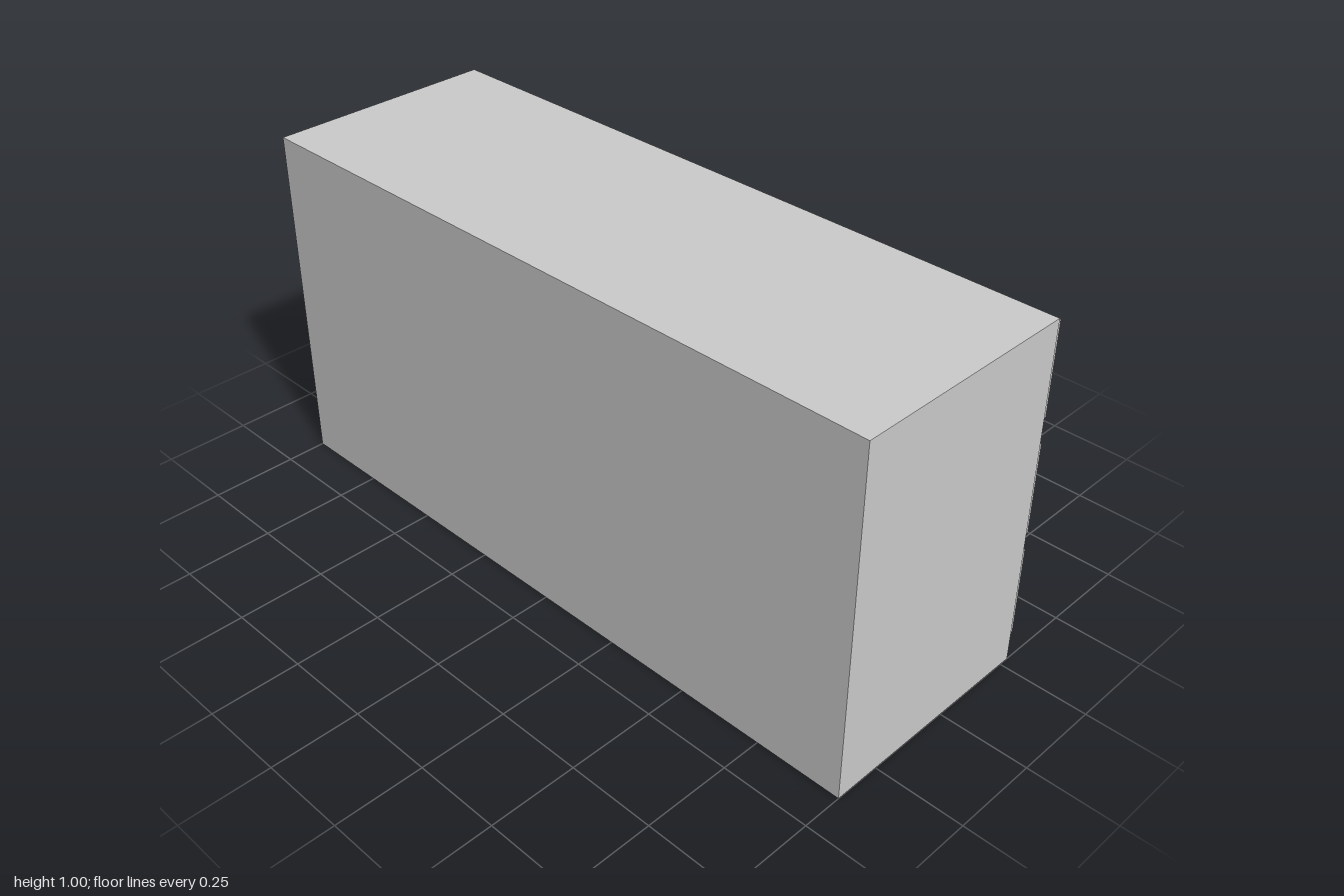
import * as THREE from 'three';

const material = new THREE.MeshStandardMaterial({ color: 0xcccccc });
const FACE_X = 0.325; // outer plane of the drawer fronts

function add(parent, name, geometry, x, y, z) {
  const mesh = new THREE.Mesh(geometry, material);
  mesh.name = name;
  mesh.position.set(x, y, z);
  parent.add(mesh);
  return mesh;
}

export function createModel() {
  const model = new THREE.Group();
  model.name = 'chestOfDrawers';

  // Cabinet body
  add(model, 'cabinet', new THREE.BoxGeometry(0.665, 1, 2), -0.0525, 0.5, 0);

  // Drawer front slab
  const frontGeometry = new THREE.BoxGeometry(0.045, 0.266, 0.966);

  // Bowed handle: half ring lying flat, squeezed towards the drawer
  const handleGeometry = new THREE.TorusGeometry(0.067, 0.0165, 16, 32, Math.PI)
    .rotateZ(-Math.PI / 2)
    .rotateX(Math.PI / 2)
    .scale(0.7, 1, 1);

  // Three rows of two drawers, each with a pair of handles
  const rows = [
    { name: 'bottom', y: 0.182, handleY: 0.257 },
    { name: 'middle', y: 0.498, handleY: 0.561 },
    { name: 'top', y: 0.837, handleY: 0.896 },
  ];
  for (const row of rows) {
    for (const side of [-1, 1]) {
      const drawer = new THREE.Group();
      drawer.name = `${row.name}Drawer${side > 0 ? 'Front' : 'Back'}`;
      add(drawer, 'drawerFront', frontGeometry, FACE_X - 0.0225, row.y, side * 0.495);
      for (const z of [0.177, 0.835]) {
        add(drawer, 'handle', handleGeometry, FACE_X, row.handleY, side * z);
      }
      model.add(drawer);
    }
  }
  return model;
}
